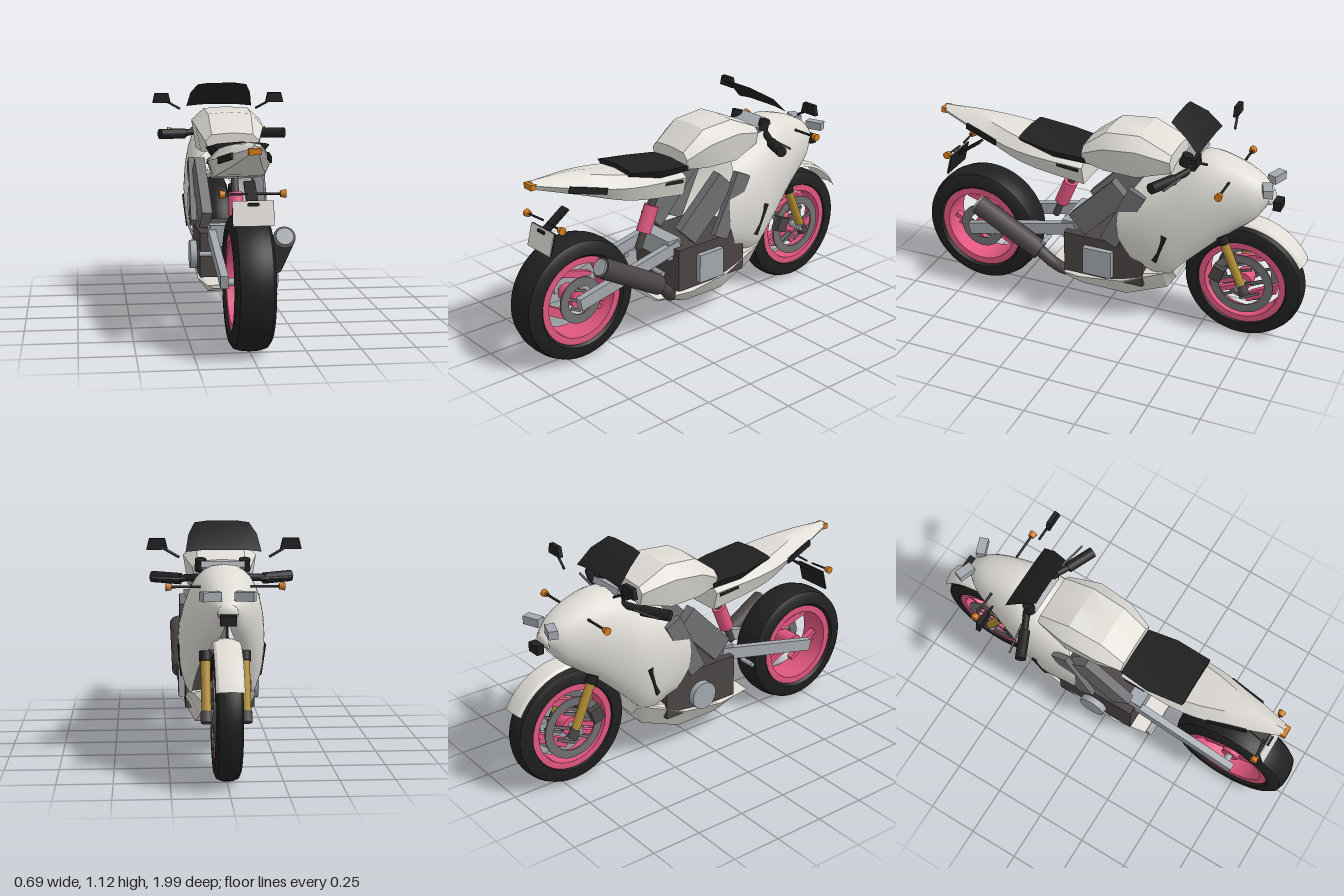
import * as THREE from 'three';
import { toCreasedNormals } from 'three/addons/utils/BufferGeometryUtils.js';

const paint = (name, color, side = THREE.FrontSide) =>
  Object.assign(new THREE.MeshStandardMaterial({ color, side }), { name });
const V = (x, y, z) => new THREE.Vector3(x, y, z);

export function createModel() {
  const model = new THREE.Group();
  model.name = 'motorcycle';
  const white = paint('white bodywork', 0xdfdcd6, THREE.DoubleSide);
  const black = paint('black rubber', 0x202020, THREE.DoubleSide);
  const pink = paint('pink rims', 0xe0567f);
  const gold = paint('gold fork', 0xb08c34);
  const dark = paint('dark engine', 0x4a4544);
  const grey = paint('frame grey', 0x707072);
  const silver = paint('silver metal', 0xa3a8ae);
  const orange = paint('orange lamps', 0xd47a1c);

  // ---- helpers ----
  const add = (name, geo, mat, parent = model) => {
    const m = new THREE.Mesh(geo, mat);
    m.name = name;
    parent.add(m);
    return m;
  };
  const box = (name, mat, w, h, d, x, y, z) => {
    const m = add(name, new THREE.BoxGeometry(w, h, d), mat);
    m.position.set(x, y, z);
    return m;
  };
  // box running from a to b
  const bar = (name, mat, a, b, w, h, parent) => {
    const m = add(name, new THREE.BoxGeometry(w, h, a.distanceTo(b)), mat, parent);
    m.position.copy(a).lerp(b, 0.5);
    m.lookAt(b);
    return m;
  };
  // round rod running from a to b
  const rod = (name, mat, a, b, ra, rb = ra, parent) => {
    const m = add(name, new THREE.CylinderGeometry(rb, ra, a.distanceTo(b), 16), mat, parent);
    m.position.copy(a).lerp(b, 0.5);
    m.quaternion.setFromUnitVectors(V(0, 1, 0), b.clone().sub(a).normalize());
    return m;
  };
  // skin over rings listed from -z to +z
  const loft = (rings, { closed = true, steps = 0, crease = 0.5 } = {}) => {
    if (steps) {
      const cols = rings[0].map((_, j) => new THREE.CatmullRomCurve3(rings.map(r => r[j])));
      rings = Array.from({ length: steps + 1 }, (_, i) => cols.map(c => c.getPoint(i / steps)));
    }
    const n = rings[0].length, last = (rings.length - 1) * n, idx = [];
    for (let i = 0; i < rings.length - 1; i++)
      for (let j = 0; j < (closed ? n : n - 1); j++) {
        const a = i * n + j, b = i * n + (j + 1) % n;
        idx.push(a, a + n, b, b, a + n, b + n);
      }
    if (closed)
      for (let j = 1; j < n - 1; j++) idx.push(0, j, j + 1, last, last + j + 1, last + j);
    const g = new THREE.BufferGeometry().setFromPoints(rings.flat());
    g.setIndex(idx);
    g.computeVertexNormals();
    return toCreasedNormals(g, crease);
  };
  // mirrored cross-section: top, shoulder and bottom heights with half-widths
  const section = ([z, top, tw, mid, mw, bot, bw]) => {
    const half = [[tw, top - 0.008], [mw, mid], [bw, bot]];
    return [V(0, top, z), ...half.map(([x, y]) => V(x, y, z)), V(0, bot, z),
      ...half.reverse().map(([x, y]) => V(-x, y, z))];
  };

  // ---- wheels ----
  const lathe = (pts) => {
    const g = new THREE.LatheGeometry([...pts, pts[0]].map(p => new THREE.Vector2(...p)), 48);
    g.rotateZ(-Math.PI / 2);
    return toCreasedNormals(g, 0.6);
  };
  const ring = (r0, r1, w) => lathe([[r0, -w], [r1, -w], [r1, w], [r0, w]]);
  const wheel = (name, z, R, w, discIn, discOut, discX) => {
    const g = new THREE.Group();
    g.name = name;
    g.position.set(0, R + 0.003, z);
    model.add(g);
    add('tyre', lathe([[0.215, -w * 0.8], [R - 0.075, -w], [R - 0.035, -w * 0.97], [R - 0.012, -w * 0.8],
      [R - 0.002, -w * 0.4], [R, 0], [R - 0.002, w * 0.4], [R - 0.012, w * 0.8], [R - 0.035, w * 0.97],
      [R - 0.075, w], [0.215, w * 0.8]]), black, g);
    add('rim', ring(0.185, 0.22, w * 0.85), pink, g);
    rod('hub', pink, V(-w * 0.6, 0, 0), V(w * 0.6, 0, 0), 0.045, 0.045, g);
    rod('axle', silver, V(-0.11, 0, 0), V(0.11, 0, 0), 0.018, 0.018, g);
    for (let i = 0; i < 3; i++) {
      const a = Math.PI / 2 + i * Math.PI * 2 / 3, c = Math.cos(a), s = Math.sin(a);
      for (const o of [-0.02, 0.02])
        bar('spoke', pink, V(0, 0.03 * s + o * c, 0.03 * c - o * s), V(0, 0.195 * s + o * c, 0.195 * c - o * s), 0.03, 0.022, g);
    }
    for (const x of discX) {
      add('brakeDisc', ring(discIn, discOut, 0.004), grey, g).position.x = x;
      for (let i = 0; i < 5; i++) {
        const a = 0.3 + i * Math.PI * 0.4, s = Math.sin(a), c = Math.cos(a);
        bar('discArm', grey, V(x, 0.02 * s, 0.02 * c), V(x, (discIn + 0.01) * s, (discIn + 0.01) * c), 0.006, 0.014, g);
      }
    }
  };
  wheel('rearWheel', 0.69, 0.305, 0.09, 0.07, 0.115, [0.065]);
  wheel('frontWheel', -0.7, 0.296, 0.06, 0.115, 0.157, [-0.058, 0.058]);

  // ---- front mudguard, an arc around the front wheel ----
  const guard = [];
  for (let i = 0; i <= 14; i++) {
    const a = THREE.MathUtils.degToRad(152 - i * 5.2);
    guard.push([-1, -0.8, 0, 0.8, 1].map(k => {
      const r = 0.335 - 0.02 * k ** 4;
      return V(0.062 * k, 0.3 + r * Math.sin(a), -0.7 + r * Math.cos(a));
    }));
  }
  add('frontMudguard', loft(guard, { closed: false }), white);

  // ---- main fairing: arched shell, top z/y, bottom z/y, half-width, arc, rear bulge ----
  const fairing = [
    [-0.815, 0.80, -0.795, 0.73, 0.045, 180, 0],
    [-0.745, 0.865, -0.74, 0.65, 0.095, 175, 0],
    [-0.62, 0.92, -0.59, 0.54, 0.145, 155, 0],
    [-0.49, 0.94, -0.44, 0.40, 0.182, 150, 0],
    [-0.37, 0.88, -0.34, 0.31, 0.2, 150, 0.02],
    [-0.22, 0.81, -0.2, 0.34, 0.198, 150, 0.1],
  ].map(([z0, y0, z1, y1, w, arc, bulge]) => Array.from({ length: 25 }, (_, j) => {
    const T = THREE.MathUtils.degToRad(arc), t = T * (j / 12 - 1), s = Math.sin(t);
    const f = (1 - Math.cos(t)) / (1 - Math.cos(T));
    const x = Math.sign(s) * w * Math.abs(s) ** (Math.cos(t) > 0 ? 0.8 : 0.5);
    return V(x, y0 + (y1 - y0) * f, z0 + (z1 - z0) * f + bulge * Math.sin(Math.PI * f));
  }));
  add('fairing', loft(fairing, { closed: false, steps: 20, crease: 1 }), white);
  add('noseCap', new THREE.SphereGeometry(1, 16, 10).scale(0.045, 0.036, 0.02), white).position.set(0, 0.765, -0.805);

  // ---- tank, tail, seat and belly pan ----
  add('fuelTank', loft([
    [-0.35, 0.945, 0.11, 0.91, 0.135, 0.85, 0.12],
    [-0.19, 1.015, 0.11, 0.95, 0.172, 0.81, 0.15],
    [-0.02, 1.0, 0.105, 0.93, 0.165, 0.81, 0.14],
    [0.1, 0.91, 0.10, 0.87, 0.13, 0.82, 0.11],
  ].map(section)), white);
  add('tail', loft([
    [0.1, 0.815, 0.09, 0.785, 0.125, 0.69, 0.10],
    [0.43, 0.88, 0.10, 0.82, 0.14, 0.75, 0.11],
    [0.67, 0.925, 0.045, 0.865, 0.095, 0.825, 0.06],
    [0.89, 0.932, 0.015, 0.915, 0.03, 0.895, 0.02],
  ].map(section), { steps: 12, crease: 0.7 }), white);
  add('seat', loft([
    [0.06, 0.85, 0.10, 0.84, 0.12, 0.81, 0.11],
    [0.25, 0.87, 0.12, 0.86, 0.145, 0.82, 0.12],
    [0.43, 0.902, 0.11, 0.887, 0.13, 0.86, 0.10],
  ].map(section)), black);
  add('bellyPan', loft([
    [-0.38, 0.34, 0.12, 0.325, 0.13, 0.27, 0.08],
    [-0.34, 0.34, 0.14, 0.325, 0.16, 0.215, 0.10],
    [-0.13, 0.28, 0.15, 0.235, 0.17, 0.135, 0.115],
    [0.1, 0.225, 0.15, 0.205, 0.17, 0.14, 0.12],
    [0.29, 0.215, 0.12, 0.207, 0.14, 0.193, 0.11],
  ].map(section)), white);

  // ---- windscreen ----
  add('windscreen', loft([[-0.5, 0.995, 0.17], [-0.43, 1.068, 0.155], [-0.35, 1.115, 0.125]].map(([z, y, w]) =>
    [V(-w, y, z), V(-w * 0.55, y + 0.008, z), V(w * 0.55, y + 0.008, z), V(w, y, z)]), { closed: false }), black);

  // ---- engine, covers, shock and exhaust ----
  box('engine', dark, 0.33, 0.215, 0.415, 0, 0.333, -0.027);
  box('engineCover', silver, 0.03, 0.145, 0.15, 0.177, 0.32, -0.005);
  rod('clutchCover', silver, V(-0.16, 0.3, -0.03), V(-0.197, 0.3, -0.03), 0.07);
  box('swingarmPivot', silver, 0.24, 0.1, 0.08, 0, 0.43, 0.17);
  rod('shockRod', dark, V(0, 0.7, 0.185), V(0, 0.43, 0.3), 0.018);
  rod('shockSpring', pink, V(0, 0.635, 0.213), V(0, 0.51, 0.266), 0.036);
  rod('muffler', dark, V(0.165, 0.305, 0.31), V(0.168, 0.497, 0.645), 0.05);
  rod('mufflerCap', silver, V(0.168, 0.495, 0.642), V(0.168, 0.502, 0.654), 0.04);
  add('exhaustPipe', new THREE.TubeGeometry(new THREE.CatmullRomCurve3(
    [V(0.165, 0.31, 0.32), V(0.155, 0.25, 0.25), V(0.12, 0.2, 0.2), V(0.08, 0.19, 0.1)]), 16, 0.03, 12), dark);

  // ---- tail lamp and number plate ----
  box('tailLamp', orange, 0.056, 0.027, 0.03, 0, 0.907, 0.893);
  bar('plateArm', black, V(0, 0.755, 0.71), V(0, 0.67, 0.83), 0.05, 0.012);
  bar('plateBack', black, V(0, 0.69, 0.832), V(0, 0.585, 0.86), 0.18, 0.006);
  bar('plate', white, V(0, 0.69, 0.837), V(0, 0.585, 0.865), 0.176, 0.004);
  box('plateLamp', black, 0.05, 0.012, 0.012, 0, 0.675, 0.846);

  // ---- nose lamp housing and top clamp ----
  box('noseBox', black, 0.07, 0.045, 0.037, 0, 0.737, -0.842);
  bar('topClamp', silver, V(0, 0.905, -0.385), V(0, 0.935, -0.46), 0.2, 0.03);

  // ---- mirrored parts ----
  for (const s of [-1, 1]) {
    const P = (x, y, z) => V(s * x, y, z);
    bar('frameSpar', grey, P(0.13, 0.49, 0.115), P(0.145, 0.73, -0.12), 0.05, 0.125);
    bar('sidePanel', grey, P(0.175, 0.45, -0.065), P(0.175, 0.745, -0.21), 0.03, 0.09);
    bar('swingarm', silver, P(0.11, 0.315, 0.73), P(0.11, 0.445, 0.14), 0.035, 0.06);
    rod('footpeg', silver, P(0.1, 0.36, 0.29), P(0.18, 0.36, 0.29), 0.012);
    // fork and brake
    rod('forkLeg', gold, P(0.088, 0.555, -0.6), P(0.088, 0.27, -0.725), 0.022);
    rod('forkCollar', black, P(0.088, 0.56, -0.6), P(0.088, 0.52, -0.617), 0.028);
    rod('forkFoot', dark, P(0.088, 0.31, -0.705), P(0.088, 0.265, -0.728), 0.026);
    bar('caliper', dark, P(0.07, 0.375, -0.595), P(0.07, 0.305, -0.57), 0.045, 0.06);
    // handlebars
    rod('clampKnob', black, P(0.1, 0.9, -0.41), P(0.1, 0.955, -0.425), 0.026);
    rod('handlebar', black, P(0.09, 0.875, -0.44), P(0.2, 0.863, -0.385), 0.017);
    rod('grip', black, P(0.19, 0.862, -0.39), P(0.32, 0.866, -0.33), 0.026);
    bar('lever', grey, P(0.17, 0.865, -0.42), P(0.32, 0.868, -0.39), 0.008, 0.008);
    // mirrors
    const shape = new THREE.Shape([[0.25, 1.01], [0.345, 1.01], [0.333, 1.06], [0.262, 1.06]]
      .map(([x, y]) => new THREE.Vector2(s * x, y)));
    add('mirror', new THREE.ExtrudeGeometry(shape, { depth: 0.022, bevelEnabled: false }), black).position.z = -0.545;
    rod('mirrorStem', black, P(0.2, 0.977, -0.552), P(0.28, 1.022, -0.538), 0.006);
    // lamps and indicators
    bar('headlamp', silver, P(0.035, 0.835, -0.79), P(0.115, 0.835, -0.82), 0.045, 0.04);
    rod('frontIndicatorStem', black, P(0.11, 0.855, -0.63), P(0.24, 0.855, -0.63), 0.006);
    rod('frontIndicator', orange, P(0.236, 0.855, -0.63), P(0.262, 0.855, -0.63), 0.014, 0.019);
    rod('rearIndicatorStem', black, P(0.02, 0.718, 0.82), P(0.12, 0.718, 0.828), 0.005);
    rod('rearIndicator', orange, P(0.118, 0.718, 0.828), P(0.143, 0.718, 0.828), 0.014, 0.019);
    // vents
    bar('fairingVent', black, P(0.196, 0.555, -0.35), P(0.18, 0.4, -0.295), 0.012, 0.035);
    bar('tailVent', black, P(0.078, 0.872, 0.74), P(0.118, 0.832, 0.56), 0.009, 0.03);
    bar('tailFrontVent', black, P(0.128, 0.787, 0.23), P(0.122, 0.772, 0.12), 0.009, 0.018);
  }
  return model;
}
